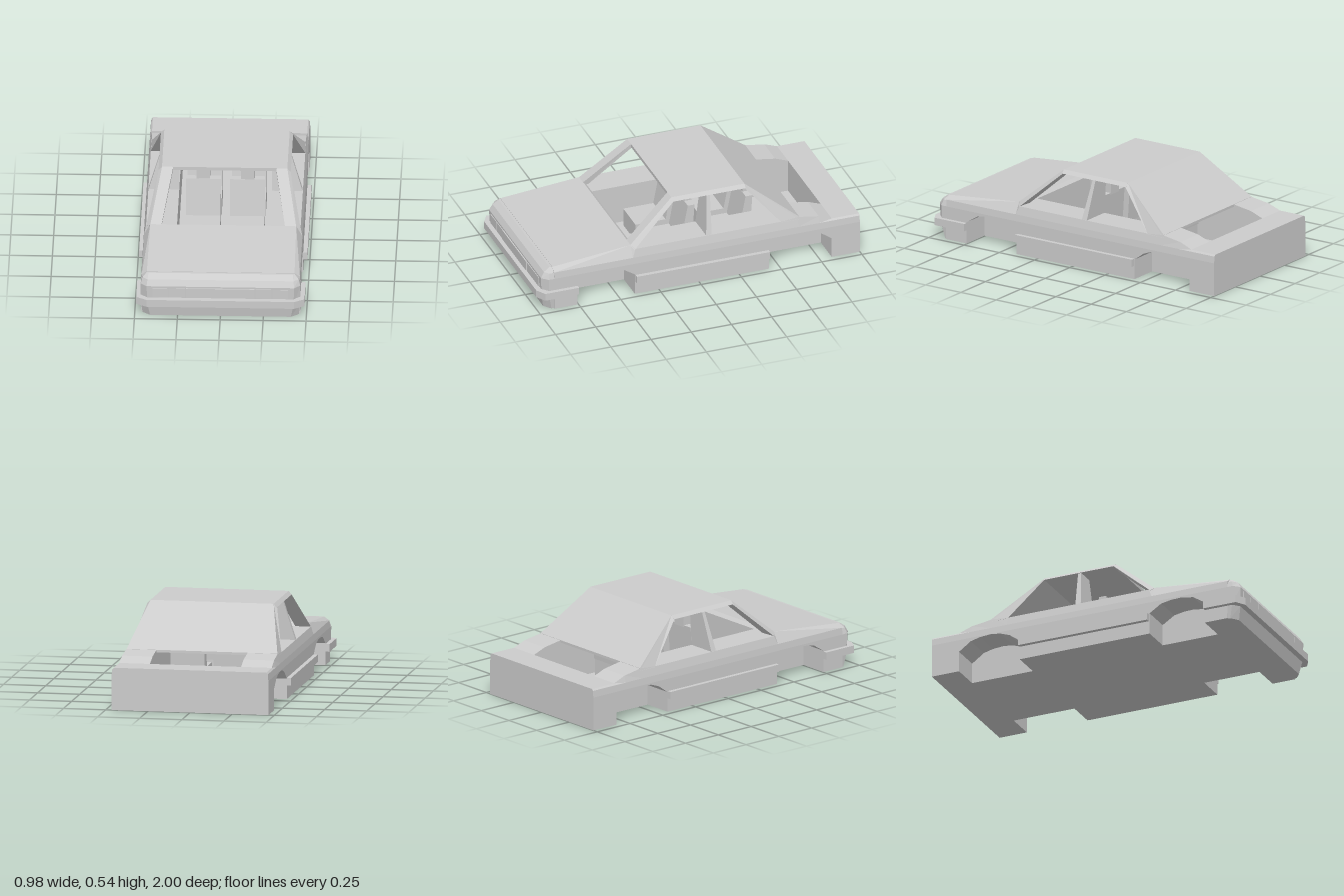
import * as THREE from 'three';

const material = new THREE.MeshStandardMaterial({ color: 0xcccccc, flatShading: true });

// Solid through convex rings of [x, y, z] points, capped at both ends and turned to face outwards
function loft(rings) {
  const tris = [];
  const n = rings[0].length;
  for (let r = 0; r + 1 < rings.length; r++) {
    for (let i = 0; i < n; i++) {
      const j = (i + 1) % n;
      const [a, b, c, d] = [rings[r][i], rings[r][j], rings[r + 1][j], rings[r + 1][i]];
      tris.push([a, b, c], [a, c, d]);
    }
  }
  const first = rings[0], last = rings[rings.length - 1];
  for (let i = 1; i + 1 < n; i++) {
    tris.push([first[0], first[i + 1], first[i]], [last[0], last[i], last[i + 1]]);
  }
  let volume = 0;
  for (const [a, b, c] of tris) {
    volume += new THREE.Vector3(...a).dot(new THREE.Vector3(...b).cross(new THREE.Vector3(...c)));
  }
  if (volume < 0) tris.forEach((t) => t.reverse());
  const geometry = new THREE.BufferGeometry();
  geometry.setAttribute('position', new THREE.Float32BufferAttribute(tris.flat(2), 3));
  geometry.computeVertexNormals();
  return geometry;
}

// Side profile of [z, y] points extruded from x0 to x1
function profile(points, x0, x1) {
  const shape = new THREE.Shape(points.map(([z, y]) => new THREE.Vector2(z, y)));
  return new THREE.ExtrudeGeometry(shape, { depth: x1 - x0, bevelEnabled: false })
    .rotateY(-Math.PI / 2).translate(x1, 0, 0);
}

function box(x0, x1, y0, y1, z0, z1) {
  return new THREE.BoxGeometry(x1 - x0, y1 - y0, z1 - z0)
    .translate((x0 + x1) / 2, (y0 + y1) / 2, (z0 + z1) / 2);
}

// Plan outline with chamfered front corners
function plan(y, back, half, cornerZ, frontHalf, frontZ) {
  return [[-half, y, back], [-half, y, cornerZ], [-frontHalf, y, frontZ],
    [frontHalf, y, frontZ], [half, y, cornerZ], [half, y, back]];
}

// Half width of the cabin at a height
const cabinHalf = (y) => (y > 0.52 ? 0.385 - (y - 0.52) : 0.45 - (y - 0.29) * 0.283);

export function createModel() {
  const car = new THREE.Group();
  car.name = 'car';
  const add = (name, geometry, parent = car) => {
    const mesh = new THREE.Mesh(geometry, material);
    mesh.name = name;
    parent.add(mesh);
    return mesh;
  };

  // Middle of the body: bonnet, floor and tail with the open cabin between
  add('centreBody', profile([[0.9, 0], [0.9, 0.262], [0.41, 0.308], [0.39, 0.29], [0.39, 0.05],
    [-0.83, 0.05], [-0.83, 0.25], [-1, 0.25], [-1, 0]], -0.27, 0.27));

  // Nose and bumper
  add('nose', loft([
    plan(0, 0.9, 0.455, 0.915, 0.41, 0.95),
    plan(0.08, 0.9, 0.465, 0.93, 0.425, 0.965),
    plan(0.2, 0.9, 0.465, 0.935, 0.43, 0.97),
    plan(0.235, 0.9, 0.455, 0.925, 0.425, 0.95),
    plan(0.26, 0.9, 0.43, 0.905, 0.42, 0.915),
  ]));
  add('frontBumper', loft([0.08, 0.125].map((y) => plan(y, 0.755, 0.49, 0.965, 0.43, 1))));
  add('grille', box(-0.2, 0.2, 0.13, 0.19, 0.95, 0.977));

  // Lower side with both wheel arches, in [z, y]
  const lowerSide = [[0.9, 0], [0.9, 0.2], [-1, 0.2], [-1, 0],
    [-0.825, 0], [-0.825, 0.125], [-0.75, 0.178], [-0.69, 0.193], [-0.62, 0.198],
    [-0.56, 0.19], [-0.5, 0.168], [-0.435, 0.12], [-0.435, 0],
    [0.4, 0], [0.4, 0.13], [0.475, 0.178], [0.54, 0.189], [0.6, 0.191],
    [0.68, 0.178], [0.755, 0.13], [0.755, 0]];

  // Upper side stations: z, top edge x, top edge y
  const stations = [[0.9, 0.43, 0.262], [0.41, 0.425, 0.308], [0.39, 0.45, 0.29], [-0.52, 0.45, 0.29],
    [-0.62, 0.448, 0.3], [-0.75, 0.45, 0.28], [-0.83, 0.452, 0.25], [-1, 0.452, 0.25]];

  for (const s of [1, -1]) {
    const side = new THREE.Group();
    side.name = s > 0 ? 'leftSide' : 'rightSide';
    car.add(side);
    const span = (a, b) => (s > 0 ? [a, b] : [-b, -a]);

    add('lowerSide', profile(lowerSide, ...span(0.285, 0.465)), side);
    add('wheelWellWall', box(...span(0.27, 0.285), 0, 0.2, -1, 0.9), side);
    add('upperSide', loft(stations.map(([z, x, y]) => [[s * 0.27, 0.2, z], [s * 0.465, 0.2, z],
      [s * 0.461, 0.24, z], [s * x, y, z], [s * 0.27, y, z]])), side);
    add('sillStrip', box(...span(0.46, 0.49), 0.08, 0.125, -0.433, 0.395), side);
    add('outerHeadlight', box(...span(0.303, 0.395), 0.13, 0.188, 0.95, 0.974), side);
    add('innerHeadlight', box(...span(0.205, 0.298), 0.13, 0.188, 0.95, 0.974), side);

    // Windscreen pillar
    add('windscreenPillar', loft([
      [[s * 0.36, 0.305, 0.415], [s * 0.425, 0.305, 0.415], [s * 0.45, 0.285, 0.395], [s * 0.36, 0.285, 0.385]],
      [[s * 0.3, 0.54, 0.135], [s * 0.365, 0.54, 0.135], [s * 0.385, 0.52, 0.13], [s * 0.3, 0.52, 0.125]],
    ]), side);

    // Wide door pillar behind the front seat
    add('doorPillar', loft([[0.285, -0.05, -0.085], [0.525, -0.08, -0.1]].map(([y, z0, z1]) => {
      const x = s * (cabinHalf(y) - 0.002);
      return [[s * 0.27, y, z0], [x, y, z0], [x, y, z1], [s * 0.27, y, z1]];
    })), side);

    // Front and rear seats
    const seats = [
      { name: 'frontSeat', z: 0, length: 0.21, top: 0.38, head: 0.45 },
      { name: 'rearSeat', z: -0.36, length: 0.18, top: 0.37, head: 0.4 },
    ];
    for (const { name, z, length, top, head } of seats) {
      const seat = new THREE.Group();
      seat.name = name;
      side.add(seat);
      add('cushion', box(...span(0.027, 0.23), 0.05, 0.16, z - 0.04, z + length), seat);
      add('backrest', profile([[z + 0.025, 0.15], [z - 0.018, top], [z - 0.06, top], [z - 0.045, 0.15]],
        ...span(0.027, 0.23)), seat);
      add('headrest', box(...span(0.09, 0.17), top - 0.01, head, z - 0.063, z - 0.02), seat);
    }
  }

  // Roof panel with chamfered edges
  add('roof', loft([0.135, -0.32].map((z) => [[-0.385, 0.52, z], [0.385, 0.52, z],
    [0.365, 0.54, z], [-0.365, 0.54, z]])));

  // Sloping rear panel, narrowing towards the roof
  const slope = [[-0.32, 0.54], [-0.63, 0.3], [-0.63, 0.285], [-0.52, 0.285], [-0.315, 0.52]];
  add('rearSlope', loft([-1, 1].map((s) => slope.map(([z, y]) => [s * cabinHalf(y), y, z]))));

  return car;
}
